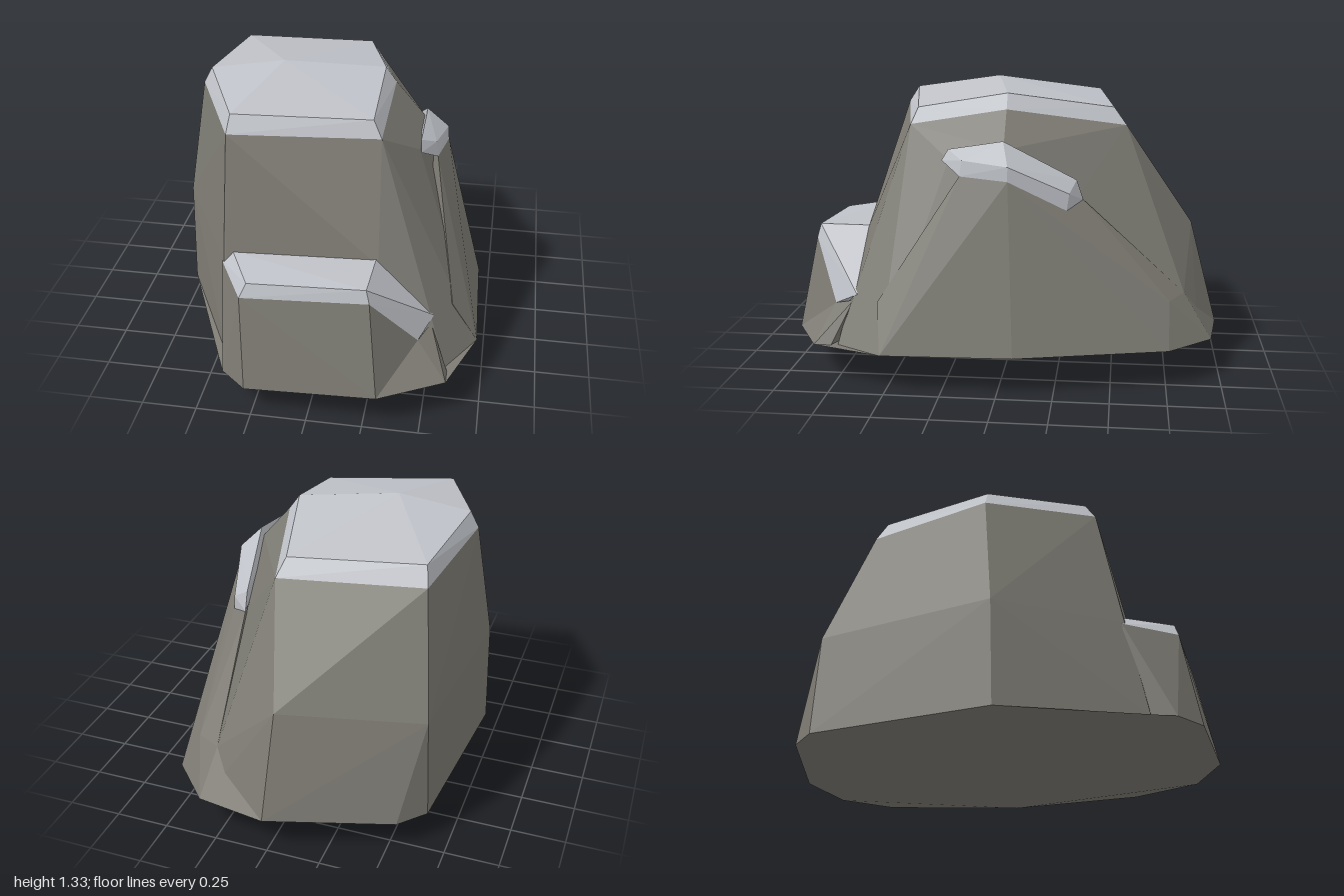
import * as THREE from 'three';
import { ConvexGeometry } from 'three/addons/geometries/ConvexGeometry.js';

const rock = new THREE.MeshStandardMaterial({ color: 0x7d7b73 });
rock.name = 'rock grey';
const snow = new THREE.MeshStandardMaterial({ color: 0xbfc2c8 });
snow.name = 'pale snow';

// One faceted boulder piece from its corner points
function chunk(name, material, ...pointSets) {
  const points = pointSets.flat().map(p => new THREE.Vector3(...p));
  const mesh = new THREE.Mesh(new ConvexGeometry(points), material);
  mesh.name = name;
  return mesh;
}

export function createModel() {
  const group = new THREE.Group();
  group.name = 'snowyRock';

  // Main block: base corners, middle corners, top corners
  const bodyBase = [[0.02, 0.16, -1], [0.32, 0.17, -0.90], [0.70, 0.17, -0.07], [0.72, 0.17, 0.52],
    [0.59, 0.17, 0.74], [-0.41, 0.15, 0.78], [-0.72, 0.145, 0.17], [-0.65, 0.14, -0.68], [-0.54, 0.14, -0.80]];
  const valley = [[0.30, 0.38, -0.83]];
  const bodyMiddle = [[0, 0.65, -0.87], [-0.63, 0.61, -0.665], [-0.71, 0.65, 0.16], [-0.42, 0.6, 0.69],
    [0.27, 0.63, 0.665], [0.515, 0.385, 0.665], [0.59, 0.375, 0.55],
    [0.40, 1.05, 0], [0.40, 1.0, 0.25], [0.34, 0.84, -0.34]];
  const capLow = [[-0.55, 1.15, -0.46], [0.11, 1.13, -0.55], [0.26, 1.215, 0], [0.25, 1.14, 0.45],
    [-0.41, 1.175, 0.58], [-0.63, 1.2, 0.11]];
  group.add(chunk('mainRock', rock, bodyBase, bodyMiddle, valley, capLow));

  // Snow cap with bevelled rim
  const capRim = [[-0.53, 1.235, -0.41], [0.08, 1.21, -0.49], [0.21, 1.285, 0], [0.21, 1.215, 0.42],
    [-0.40, 1.25, 0.53], [-0.59, 1.275, 0.11], [-0.25, 1.325, 0.09]];
  group.add(chunk('topSnow', snow, capLow, capRim));

  // Front ledge, with a low foot at its end
  const ledgeBase = [[-0.40, 0.14, 0.89], [-0.28, 0.13, 0.985], [0.31, 0.16, 0.995]];
  const ledgeLow = [[-0.43, 0.59, 0.68], [-0.30, 0.565, 0.91], [0.265, 0.595, 0.91]];
  const slopeEnd = [[0.465, 0.33, 0.775]];
  const footBase = [[0.31, 0.16, 0.995], [0.60, 0.17, 0.85], [0.60, 0.17, 0.77]];
  group.add(chunk('frontLedgeRock', rock, ledgeBase, ledgeLow, slopeEnd, [[-0.40, 0.15, 0.70], [0.45, 0.17, 0.70]]));
  group.add(chunk('frontLedgeFoot', rock, footBase, slopeEnd, [[0.515, 0.36, 0.68], [0.40, 0.17, 0.70]]));
  const ledgeCorner = [[0.265, 0.595, 0.91], [0.25, 0.655, 0.895], [0.26, 0.655, 0.65], [0.26, 0.56, 0.65]];
  group.add(chunk('frontLedgeSnow', snow, ledgeLow, ledgeCorner, [[-0.38, 0.645, 0.675], [-0.27, 0.63, 0.89]]));
  group.add(chunk('frontLedgeSlopeSnow', snow, ledgeCorner, slopeEnd, [[0.525, 0.39, 0.66], [0.46, 0.33, 0.66]]));

  // Side buttress
  const sideEnd = [[0.41, 1.0, 0.28]];
  const sideLow = [[0.48, 0.94, 0.19], [0.515, 0.925, -0.03], [0.44, 0.785, -0.29], [0.35, 0.82, -0.36]];
  const sideFoot = [[0.60, 0.38, 0.55], [0.61, 0.5, -0.04], [0.42, 0.37, -0.76],
    [0.72, 0.17, 0.52], [0.70, 0.17, -0.07], [0.53, 0.17, -0.76], [0.2, 0.17, 0]];
  group.add(chunk('sideButtressRock', rock, sideLow, sideFoot, valley));
  const sideTop = [[0.405, 1.05, 0.25], [0.47, 1.01, 0.18], [0.51, 0.99, -0.03], [0.43, 0.86, -0.30],
    [0.35, 0.91, -0.33], [0.41, 1.09, 0], [0.38, 1.0, 0]];
  group.add(chunk('sideButtressSnow', snow, sideEnd, sideLow, sideTop));

  // Rear corner joining the main block and the buttress
  const rearBase = [[0.34, 0.17, -0.96], [0.53, 0.17, -0.76]];
  group.add(chunk('rearFoot', rock, rearBase, valley, [[0.42, 0.37, -0.76], [0.02, 0.16, -1], [0.3, 0.17, -0.6]]));

  // Pointed underside
  group.add(chunk('underside', rock, [[0.21, 0, 0.02]], bodyBase, ledgeBase, footBase, rearBase));
  return group;
}
